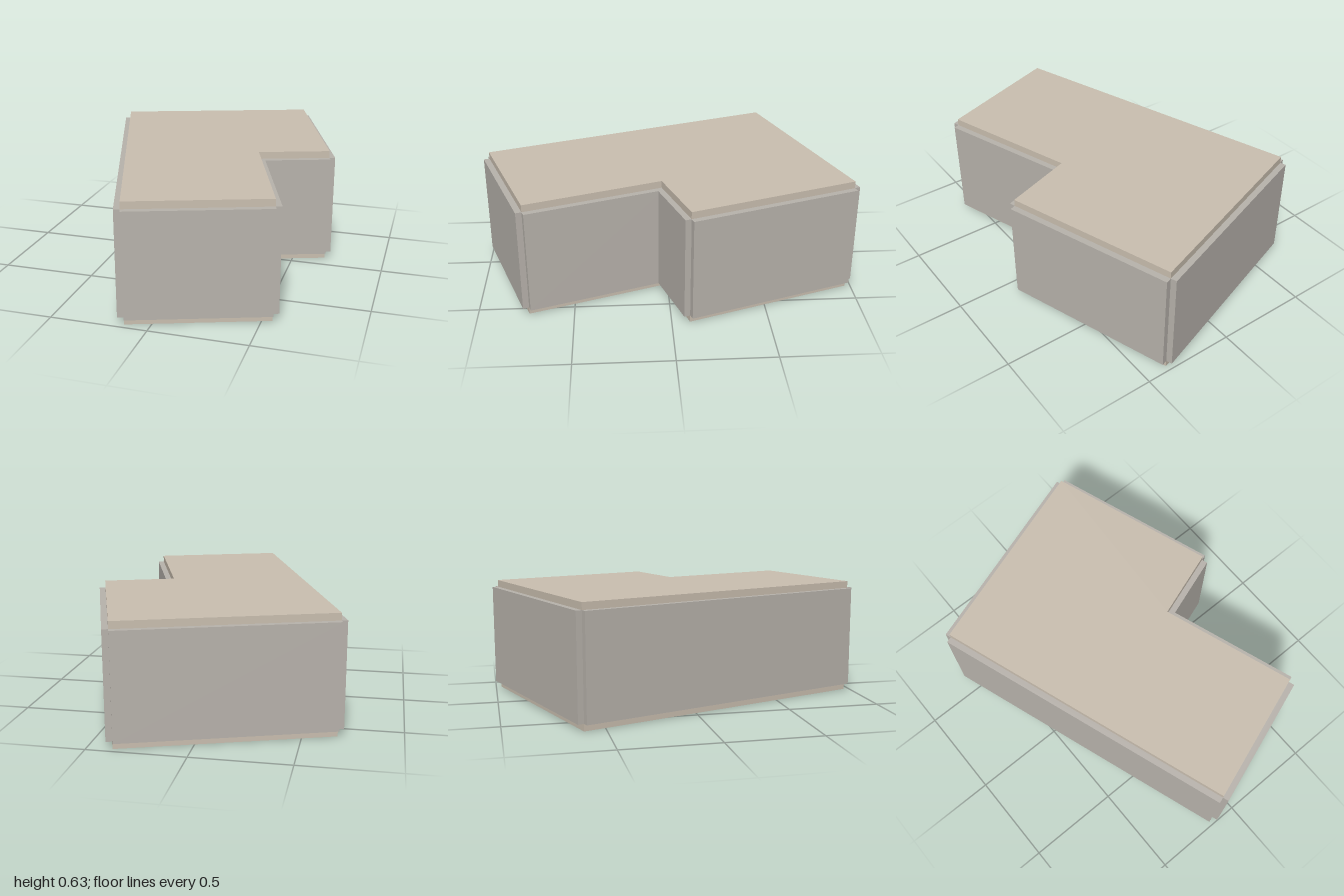
import * as THREE from 'three';

// Footprint corners in plan (x, z), starting at the back right corner
const FOOTPRINT = [
  [-0.674, -0.61], [0.372, -0.97], [0.673, -0.094],
  [0.308, 0.031], [0.551, 0.734], [-0.128, 0.97],
];
const SLAB = 0.038;    // floor and roof thickness
const WALL = 0.032;    // wall panel thickness
const HEIGHT = 0.63;

export function createModel() {
  const model = new THREE.Group();
  model.name = 'building';
  const slabMaterial = new THREE.MeshStandardMaterial({ color: 0xcabfb0 });
  const wallMaterial = new THREE.MeshStandardMaterial({ color: 0xb8b3ac });

  // Floor and roof: the L-shaped footprint extruded upwards
  const outline = new THREE.Shape(FOOTPRINT.map(([x, z]) => new THREE.Vector2(x, -z)));
  const slabGeometry = new THREE.ExtrudeGeometry(outline, { depth: SLAB, bevelEnabled: false });
  slabGeometry.rotateX(-Math.PI / 2);
  for (const [name, y] of [['floor', 0], ['roof', HEIGHT - SLAB]]) {
    const slab = new THREE.Mesh(slabGeometry, slabMaterial);
    slab.name = name;
    slab.position.y = y;
    model.add(slab);
  }

  // Walls: one panel outside each edge, leaving the corners open
  const walls = new THREE.Group();
  walls.name = 'walls';
  FOOTPRINT.forEach(([x0, z0], i) => {
    const [x1, z1] = FOOTPRINT[(i + 1) % FOOTPRINT.length];
    const dx = x1 - x0, dz = z1 - z0;
    const length = Math.hypot(dx, dz);
    const wall = new THREE.Mesh(
      new THREE.BoxGeometry(length, HEIGHT - 2 * SLAB, WALL), wallMaterial);
    wall.name = `wall${i + 1}`;
    // The outward normal of an edge is (dz, -dx)
    wall.position.set(
      (x0 + x1) / 2 + (dz / length) * WALL / 2,
      HEIGHT / 2,
      (z0 + z1) / 2 - (dx / length) * WALL / 2);
    wall.rotation.y = Math.atan2(-dz, dx);
    walls.add(wall);
  });
  model.add(walls);
  return model;
}
